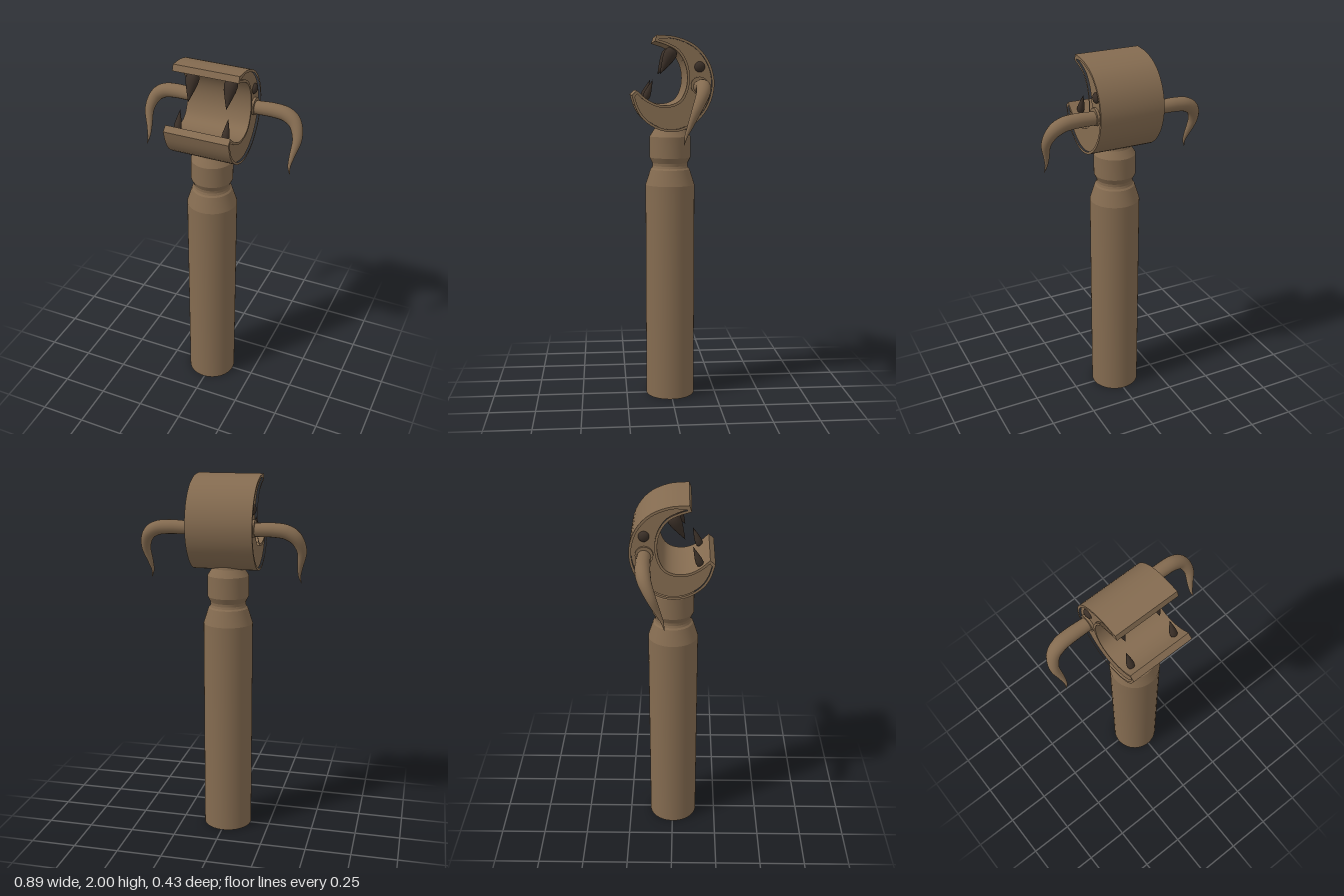
import * as THREE from 'three';
import { toCreasedNormals } from 'three/addons/utils/BufferGeometryUtils.js';

const body = new THREE.MeshStandardMaterial({ color: 0x846b50 });
body.name = 'brown';
const dark = new THREE.MeshStandardMaterial({ color: 0x3a2f27 });
dark.name = 'darkBrown';

const CX = -0.003; // mid plane of the head

function add(parent, name, geometry, material) {
  const mesh = new THREE.Mesh(geometry, material);
  mesh.name = name;
  parent.add(mesh);
  return mesh;
}

const spline = (pts) => new THREE.CatmullRomCurve3(pts.map(([x, y]) => new THREE.Vector3(x, y, 0)));

// Crescent edges, as [-z, y], from upper tip round the back to lower tip, then back inside
const outer = spline([[-0.085, 1.995], [0.02, 1.985], [0.12, 1.94], [0.19, 1.855], [0.217, 1.745],
  [0.19, 1.63], [0.125, 1.545], [0.06, 1.505], [-0.005, 1.492], [-0.085, 1.508], [-0.16, 1.56],
  [-0.195, 1.615], [-0.217, 1.685]]);
const inner = spline([[-0.19, 1.71], [-0.138, 1.665], [-0.075, 1.636], [-0.01, 1.636], [0.037, 1.66],
  [0.067, 1.718], [0.074, 1.79], [0.058, 1.857], [0.02, 1.913], [-0.032, 1.942], [-0.096, 1.963]]);

function crescentPoints(inset) {
  const points = [];
  for (const curve of [outer, inner]) {
    const e = inset / curve.getLength();
    for (let i = 0; i <= 40; i++) {
      const t = e + (1 - 2 * e) * (i / 40);
      const p = curve.getPointAt(t), d = curve.getTangentAt(t);
      points.push(new THREE.Vector2(p.x + d.y * inset, p.y - d.x * inset));
    }
  }
  return points;
}

function extrudeAcross(shape, width) {
  const geo = new THREE.ExtrudeGeometry(shape, { depth: width, bevelEnabled: false });
  geo.translate(0, 0, -width / 2);
  geo.rotateY(Math.PI / 2);
  geo.translate(CX, 0, 0);
  return toCreasedNormals(geo, 0.5);
}

// Pointed teardrop between a rounded base and a tip
function toothGeometry(base, tip, radius) {
  const axis = tip.clone().sub(base), len = axis.length();
  const profile = [[0, 0], [0.5, 0.04], [0.85, 0.12], [1, 0.25], [0.88, 0.42], [0.6, 0.62], [0.28, 0.83], [0, 1]]
    .map(([r, h]) => new THREE.Vector2(r * radius, h * len));
  const geo = new THREE.LatheGeometry(profile, 20);
  geo.applyQuaternion(new THREE.Quaternion().setFromUnitVectors(new THREE.Vector3(0, 1, 0), axis.normalize()));
  return geo.translate(base.x, base.y, base.z);
}

// Tapering horn swept along a curve
function hornGeometry(side) {
  const path = new THREE.CatmullRomCurve3([[0.15, 1.727, -0.14], [0.21, 1.73, -0.141], [0.28, 1.731, -0.142],
    [0.345, 1.722, -0.14], [0.393, 1.69, -0.13], [0.42, 1.62, -0.1], [0.408, 1.53, -0.065],
    [0.403, 1.48, -0.045], [0.412, 1.435, -0.034]]
    .map(([x, y, z]) => new THREE.Vector3(x * side, y, z)));
  const rings = 60, sides = 18;
  const geo = new THREE.TubeGeometry(path, rings, 1, sides);
  const pos = geo.attributes.position, v = new THREE.Vector3();
  for (let i = 0; i <= rings; i++) {
    const t = i / rings, centre = path.getPointAt(t);
    const r = t < 0.42 ? 0.034 + 0.004 * Math.sin(t * 5) : 0.0375 * Math.pow((1 - t) / 0.58, 0.85);
    for (let j = 0; j <= sides; j++) {
      const k = i * (sides + 1) + j;
      v.fromBufferAttribute(pos, k).sub(centre).multiplyScalar(r).add(centre);
      pos.setXYZ(k, v.x, v.y, v.z);
    }
  }
  return geo;
}

export function createModel() {
  const model = new THREE.Group();
  model.name = 'hornedHeadOnHandle';

  // Handle with tapered shoulder, groove and neck
  const profile = [[0, 0], [0.135, 0], [0.135, 1.195], [0.108, 1.28], [0.1, 1.288], [0.096, 1.3], [0.097, 1.315],
    [0.112, 1.345], [0.112, 1.46], [0.086, 1.5], [0.08, 1.53], [0, 1.53]]
    .map(([r, y]) => new THREE.Vector2(r, y));
  const handle = add(model, 'handle', toCreasedNormals(new THREE.LatheGeometry(profile, 48), 0.25), body);
  handle.position.set(-0.007, 0, 0.003);

  // Open-mouthed head: raised rim around a recessed side panel
  const head = new THREE.Group();
  head.name = 'head';
  model.add(head);
  const rim = new THREE.Shape(crescentPoints(0));
  rim.holes.push(new THREE.Path(crescentPoints(0.013)));
  add(head, 'headShell', extrudeAcross(rim, 0.354), body);
  add(head, 'sidePanels', extrudeAcross(new THREE.Shape(crescentPoints(0.013)), 0.334), body);

  for (const side of [1, -1]) {
    const prefix = side > 0 ? 'left' : 'right';

    // Horn and its collar
    add(head, prefix + 'Horn', hornGeometry(side), body);
    const collar = add(head, prefix + 'HornCollar', new THREE.CylinderGeometry(0.046, 0.046, 0.02, 28), body);
    collar.rotation.z = Math.PI / 2;
    collar.position.set(CX + side * 0.17, 1.735, -0.139);

    // Eye
    const eye = add(head, prefix + 'Eye', new THREE.SphereGeometry(0.028, 20, 14), dark);
    eye.scale.x = 0.7;
    eye.position.set(CX + side * 0.165, 1.832, -0.14);

    // Fangs
    const ux = -0.007 + side * 0.104, lx = -0.006 + side * 0.131;
    add(head, prefix + 'UpperFang', toothGeometry(
      new THREE.Vector3(ux, 1.935, -0.01), new THREE.Vector3(ux, 1.793, 0.065), 0.035), dark);
    add(head, prefix + 'LowerFang', toothGeometry(
      new THREE.Vector3(lx, 1.655, 0.148), new THREE.Vector3(lx, 1.766, 0.104), 0.02), dark);
  }
  return model;
}
